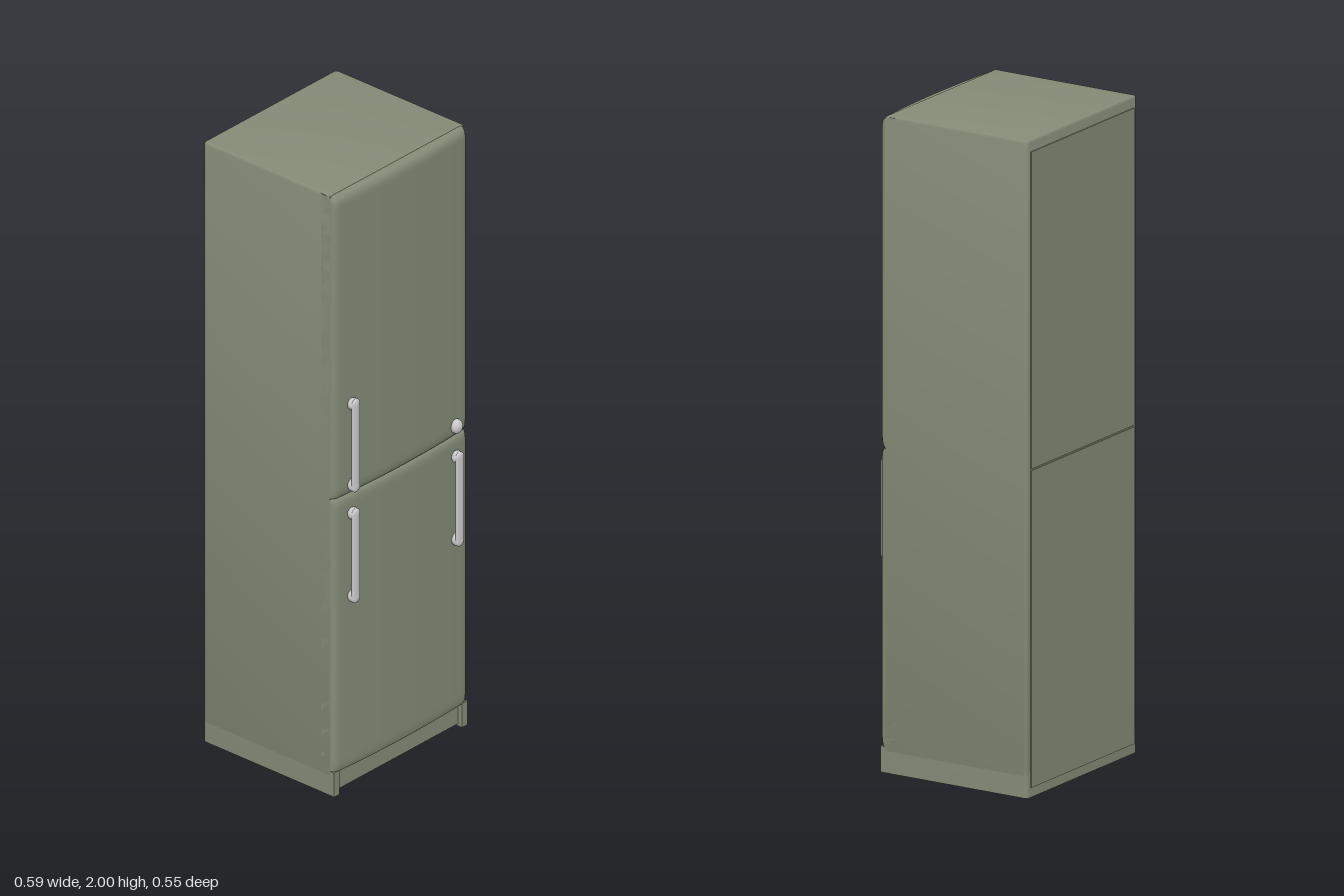
import * as THREE from 'three';
import { toCreasedNormals } from 'three/addons/utils/BufferGeometryUtils.js';

const HALF_W = 0.293, BACK = -0.271, FRONT = 0.225;

export function createModel() {
  const green = new THREE.MeshStandardMaterial({ color: 0x838b76 });
  green.name = 'sage enamel';
  const grey = new THREE.MeshStandardMaterial({ color: 0xc9c7c8 });
  grey.name = 'pale grey handle';

  const model = new THREE.Group();
  model.name = 'fridge';
  const add = (name, geometry, material, x = 0, y = 0, z = 0, parent = model) => {
    const mesh = new THREE.Mesh(geometry, material);
    mesh.name = name;
    mesh.position.set(x, y, z);
    parent.add(mesh);
  };

  // Cabinet: rounded footprint raised to the top, with softened rims
  const r = 0.014;
  const plan = new THREE.Shape();
  plan.moveTo(-HALF_W, -FRONT);
  plan.lineTo(HALF_W, -FRONT);
  plan.lineTo(HALF_W, -BACK - r);
  plan.quadraticCurveTo(HALF_W, -BACK, HALF_W - r, -BACK);
  plan.lineTo(-HALF_W + r, -BACK);
  plan.quadraticCurveTo(-HALF_W, -BACK, -HALF_W, -BACK - r);
  plan.closePath();
  const bevel = 0.007;
  const cabinet = new THREE.ExtrudeGeometry(plan, {
    depth: 1.94 - 2 * bevel, bevelThickness: bevel, bevelSize: bevel,
    bevelOffset: -bevel, bevelSegments: 3, curveSegments: 5,
  });
  cabinet.rotateX(-Math.PI / 2);
  add('cabinet', toCreasedNormals(cabinet, 0.7), green, 0, 0.06 + bevel, 0);

  // Hollow plinth: back and side walls, open towards the front
  const legFront = 0.242, wall = 0.024;
  const skirt = new THREE.Shape();
  skirt.moveTo(HALF_W, -legFront);
  skirt.lineTo(HALF_W, -BACK - r);
  skirt.quadraticCurveTo(HALF_W, -BACK, HALF_W - r, -BACK);
  skirt.lineTo(-HALF_W + r, -BACK);
  skirt.quadraticCurveTo(-HALF_W, -BACK, -HALF_W, -BACK - r);
  skirt.lineTo(-HALF_W, -legFront);
  skirt.lineTo(-HALF_W + wall, -legFront);
  skirt.lineTo(-HALF_W + wall, -BACK - wall);
  skirt.lineTo(HALF_W - wall, -BACK - wall);
  skirt.lineTo(HALF_W - wall, -legFront);
  skirt.closePath();
  const plinth = new THREE.ExtrudeGeometry(skirt, { depth: 0.08, bevelEnabled: false, curveSegments: 5 });
  plinth.rotateX(-Math.PI / 2);
  add('plinth', toCreasedNormals(plinth, 0.7), green);
  add('kickPlate', new THREE.BoxGeometry(0.54, 0.068, 0.02), green, 0, 0.042, 0.217);

  // Doors: gently bowed fronts whose edges roll back
  const roll = (distance, width, drop) => {
    const t = THREE.MathUtils.clamp(1 - distance / width, 0, 1);
    return drop * (1 - Math.sqrt(1 - t * t));
  };
  const makeDoor = (name, y0, y1, bottomDrop, topDrop) => {
    const geometry = new THREE.BoxGeometry(2, 2, 2, 40, 50, 1);
    const p = geometry.attributes.position;
    for (let i = 0; i < p.count; i++) {
      // sine spacing gathers rows towards the rounded edges
      const x = HALF_W * Math.sin(p.getX(i) * Math.PI / 2);
      const y = THREE.MathUtils.mapLinear(Math.sin(p.getY(i) * Math.PI / 2), -1, 1, y0, y1);
      let z = 0.19;
      if (p.getZ(i) > 0) {
        z = 0.255 - 0.011 * (x / HALF_W) ** 2
          - roll(HALF_W - Math.abs(x), 0.022, 0.016)
          - roll(y - y0, 0.035, bottomDrop)
          - roll(y1 - y, 0.03, topDrop);
      }
      p.setXYZ(i, x, y, z);
    }
    geometry.computeVertexNormals();
    add(name, geometry, green);
  };
  makeDoor('lowerDoor', 0.076, 0.987, 0.008, 0.012);
  makeDoor('upperDoor', 0.987, 1.997, 0.012, 0.022);

  // Back panels: thin plates meeting at a fine seam
  add('lowerBackPanel', new THREE.BoxGeometry(0.55, 0.965, 0.006), green, 0, 0.5125, BACK);
  add('upperBackPanel', new THREE.BoxGeometry(0.55, 0.965, 0.006), green, 0, 1.4825, BACK);

  // Handles: flattened bars on rounded end mounts
  const makeHandle = (name, x, y0, y1) => {
    const handle = new THREE.Group();
    handle.name = name;
    handle.position.set(x, (y0 + y1) / 2, 0);
    model.add(handle);
    const length = y1 - y0, radius = 0.0165;
    const bar = new THREE.CapsuleGeometry(radius, length - 2 * radius, 6, 16);
    bar.scale(1, 1, 0.5);
    add('bar', bar, grey, 0, 0, 0.266, handle);
    for (const side of [-1, 1]) {
      const mount = new THREE.SphereGeometry(0.019, 16, 12);
      mount.scale(1, 1.05, 0.95);
      add('mount', mount, grey, 0, side * (length / 2 - 0.02), 0.257, handle);
    }
  };
  makeHandle('upperDoorHandle', -0.225, 1.0, 1.31);
  makeHandle('lowerDoorRightHandle', -0.225, 0.63, 0.945);
  makeHandle('lowerDoorLeftHandle', 0.232, 0.63, 0.945);

  // Small knob on the upper door
  const knob = new THREE.SphereGeometry(0.02, 16, 12);
  knob.scale(1, 1.15, 0.9);
  add('knob', knob, grey, 0.232, 1.026, 0.254);

  return model;
}
